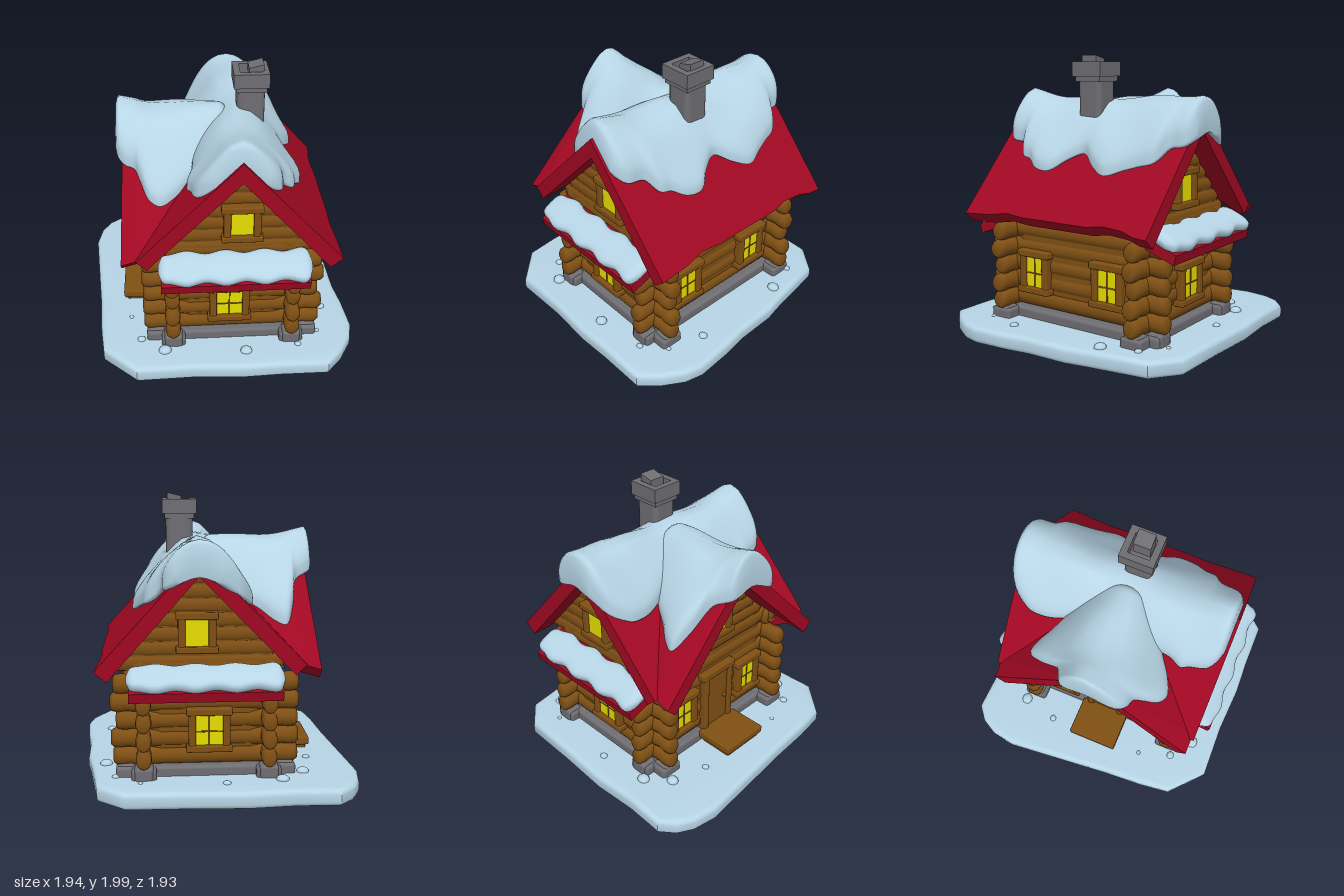
import * as THREE from 'three';
import { toCreasedNormals } from 'three/addons/utils/BufferGeometryUtils.js';
import { ConvexGeometry } from 'three/addons/geometries/ConvexGeometry.js';
import { RoundedBoxGeometry } from 'three/addons/geometries/RoundedBoxGeometry.js';

const mat = (name, color) => Object.assign(new THREE.MeshStandardMaterial({ color }), { name });
const V = (x, y, z) => new THREE.Vector3(x, y, z);

// Closed surface through nu+1 loops of nv points; the caps join upper and lower halves
function loft(nu, nv, point) {
  const pos = [], index = [];
  for (let i = 0; i <= nu; i++)
    for (let j = 0; j < nv; j++) pos.push(...point(i / nu, (j / nv) * Math.PI * 2));
  for (let i = 0; i < nu; i++)
    for (let j = 0; j < nv; j++) {
      const k = (j + 1) % nv, a = i * nv + j, b = i * nv + k;
      index.push(a, b, a + nv, b, b + nv, a + nv);
    }
  const e = nu * nv;
  for (let j = 0; j < nv / 2; j++) {
    const a = j, b = j + 1, c = nv - j - 1, d = (nv - j) % nv;
    index.push(a, c, b, a, d, c, e + a, e + b, e + c, e + a, e + c, e + d);
  }
  const g = new THREE.BufferGeometry();
  g.setAttribute('position', new THREE.Float32BufferAttribute(pos, 3));
  g.setIndex(index);
  g.computeVertexNormals();
  return g;
}
const soft = (v, p) => Math.sign(v) * Math.abs(v) ** p;

// Snow draped over a ridge; each row is [position along ridge, reach on -s, reach on +s]
function ridgeSnow(rows) {
  const curve = new THREE.CatmullRomCurve3(rows.map((r) => V(...r)), false, 'centripetal');
  return loft(64, 44, (t, a) => {
    const p = curve.getPoint(t);
    const end = Math.min(1, Math.min(t, 1 - t) / 0.06);
    const round = Math.sqrt(1 - (1 - end) ** 2);
    const c = Math.cos(a), s = soft(c, 0.7) * (c < 0 ? p.y : p.z) * (0.85 + 0.15 * round);
    const up = Math.sin(a);
    const bump = 0.01 * Math.sin(11 * p.x + 7 * s) + 0.008 * Math.sin(17 * s - 6 * p.x);
    const thick = 0.115 + 0.09 * p.x * p.x + bump;
    const h = up > 0 ? soft(up, 0.55) * thick * (0.25 + 0.75 * round) : up * 0.085;
    return [s, 1.64 - 1.08 * (Math.hypot(s, 0.12) - 0.07) + h, p.x];
  });
}

export function createModel() {
  const model = new THREE.Group();
  model.name = 'logCabin';
  const snow = mat('snow', 0xb7d5e6), wood = mat('wood', 0x805014), red = mat('redRoof', 0xa00822);
  const stone = mat('stone', 0x6e6e73), glow = mat('windowYellow', 0xf8ee00);

  const add = (name, geo, m, x = 0, y = 0, z = 0, parent = model) => {
    const mesh = new THREE.Mesh(geo, m);
    mesh.name = name;
    mesh.position.set(x, y, z);
    parent.add(mesh);
    return mesh;
  };
  const box = (name, m, w, h, d, x, y, z, parent) =>
    add(name, new RoundedBoxGeometry(w, h, d, 2, Math.min(w, h, d) * 0.2), m, x, y, z, parent);
  const log = (name, length, r, x, y, z, along, flat = 1) => {
    const l = length / 2, k = Math.min(1, l / 0.3);
    const half = [[0, 0], [0.7, 0], [0.93, 0.02], [1, 0.06], [0.9, 0.11], [1, 0.17], [0.96, 0.25]].map(([a, b]) => [a * r, l - b * k]);
    const prof = [...half.map(([a, b]) => [a, -b]), ...half.reverse()];
    const g = new THREE.LatheGeometry(prof.map((p) => new THREE.Vector2(...p)), 14);
    if (along === 'x') g.rotateZ(Math.PI / 2).scale(1, 1, flat);
    else g.rotateX(Math.PI / 2).scale(flat, 1, 1);
    return add(name, g, wood, x, y, z);
  };

  // Snowy ground slab
  const outline = [[-0.78, -0.96], [-0.5, -0.95], [-0.18, -0.97], [0.2, -0.95], [0.62, -0.94], [0.81, -0.79], [0.84, -0.6],
    [0.88, -0.35], [0.91, -0.2], [0.92, 0.1], [0.95, 0.3], [0.97, 0.55], [0.94, 0.68], [0.85, 0.83], [0.74, 0.95], [0.4, 0.95],
    [0.15, 0.96], [-0.2, 0.94], [-0.6, 0.95], [-0.84, 0.73], [-0.87, 0.5], [-0.89, 0.2], [-0.93, -0.2], [-0.97, -0.6],
    [-0.94, -0.77], [-0.88, -0.88]];
  const slab = new THREE.ExtrudeGeometry(new THREE.Shape(outline.map((p) => new THREE.Vector2(...p))),
    { depth: 0.05, bevelSize: 0.04, bevelOffset: -0.04, bevelThickness: 0.035, bevelSegments: 4 });
  add('snowGround', toCreasedNormals(slab.rotateX(Math.PI / 2), 0.7), snow, 0, 0.095, 0);
  for (let i = 0; i < 14; i++) {
    const a = i * 0.449 + 0.2, r = 0.025 + 0.012 * Math.sin(i * 5);
    add('snowLump', new THREE.SphereGeometry(r, 10, 8).scale(1.3, 0.9, 1.2), snow,
      0.06 + 0.72 * soft(Math.cos(a), 0.5), 0.13, 0.8 * soft(Math.sin(a), 0.5));
  }

  // Stone footing, following the crossed corners
  const wallX = [-0.34, 0.5], wallZ = [-0.57, 0.57];
  box('footingCore', stone, 0.98, 0.14, 1.28, 0.08, 0.13, 0);
  for (const z of wallZ) box('footingBeam', stone, 1.22, 0.12, 0.17, 0.08, 0.138, z);
  for (const x of wallX) box('footingBeam', stone, 0.17, 0.12, 1.44, x, 0.14, 0);
  for (const x of wallX) for (const z of wallZ) {
    box('cornerStone', stone, 0.13, 0.12, 0.12, x, 0.155, z + Math.sign(z) * 0.1);
    box('cornerStone', stone, 0.12, 0.12, 0.13, x + Math.sign(x) * 0.12, 0.15, z);
  }

  // Log walls with crossed ends
  box('wallCore', wood, 0.92, 0.8, 1.22, 0.08, 0.58, 0);
  for (let i = 0; i < 6; i++) {
    const y = 0.26 + i * 0.125, top = i === 5, j = 0.025 * Math.sin(i * 2.4);
    for (const z of wallZ) log('wallLog', top ? 1.0 : 1.25 + j, 0.07, 0.08 + j / 3, y, z, 'x', 0.84);
    for (const x of wallX) log('wallLog', top ? 1.2 : 1.49 + j, 0.07, x, y + 0.01, j / 3, 'z', 0.78);
  }

  // Gables filled with shortening logs
  const gablePrism = (f) => new ConvexGeometry([-1, 1].flatMap((s) => [f(-0.58, 0.86, s), f(0.58, 0.86, s), f(0, 1.53, s)]));
  for (const s of [-1, 1]) add('gableWall', gablePrism((u, y, k) => V(0.13 + u, y, s * 0.58 + k * 0.03)), wood);
  add('gableWall', gablePrism((u, y, k) => V(-0.35 + k * 0.03, y, u)), wood);
  for (let y = 0.91; y < 1.5; y += 0.095) {
    const len = Math.min(1.14, 2 * (1.55 - y) / 1.07);
    for (const z of wallZ) log('gableLog', len, 0.06, 0.13, y, z * 1.03, 'x', 0.6);
    log('gableLog', len, 0.06, -0.36, y, 0, 'z', 0.6);
  }

  // Windows, facing +z before turning
  const windowAt = (x, y, z, turn, w, h, bars = true) => {
    const g = new THREE.Group();
    g.name = 'window';
    g.position.set(x, y, z);
    g.rotation.y = turn;
    model.add(g);
    box('windowBack', wood, w + 0.06, h + 0.06, 0.06, 0, 0, -0.015, g);
    add('windowGlass', new THREE.BoxGeometry(w, h, 0.008), glow, 0, 0, 0.018, g);
    for (const s of [-1, 1]) box('windowJamb', wood, 0.05, h + 0.04, 0.07, s * (w / 2 + 0.025), 0, 0.01, g);
    box('windowLintel', wood, w + 0.13, 0.05, 0.08, 0, h / 2 + 0.025, 0.012, g);
    box('windowSill', wood, w + 0.13, 0.045, 0.085, 0, -h / 2 - 0.022, 0.012, g);
    if (bars) {
      box('windowBar', wood, 0.01, h, 0.014, 0, 0, 0.02, g);
      box('windowBar', wood, w, 0.01, 0.014, 0, -0.01, 0.02, g);
    }
  };
  const H = Math.PI / 2;
  for (const s of [-1, 1]) {
    const turn = s > 0 ? 0 : Math.PI;
    windowAt(0.06, 0.45, s * 0.625, turn, 0.18, 0.21);
    windowAt(0.14, 1.115, s * 0.625, turn, 0.15, 0.18, false);
    windowAt(0.555, 0.475, s * 0.32 + 0.01, H, 0.15, 0.22);
    windowAt(-0.395, 0.475, s * 0.34, -H, 0.14, 0.22);
  }
  windowAt(-0.395, 1.115, 0, -H, 0.15, 0.18, false);

  // Door and step
  box('door', wood, 0.05, 0.46, 0.22, -0.39, 0.43, 0.01);
  for (const s of [-1, 1]) box('doorJamb', wood, 0.08, 0.48, 0.045, -0.395, 0.43, 0.01 + s * 0.125);
  box('doorLintel', wood, 0.085, 0.055, 0.34, -0.395, 0.68, 0.01);
  add('doorKnob', new THREE.SphereGeometry(0.016, 10, 8), wood, -0.425, 0.42, 0.08);
  box('step', wood, 0.3, 0.06, 0.38, -0.56, 0.185, 0.01);
  box('stepBase', wood, 0.26, 0.08, 0.34, -0.56, 0.14, 0.01);

  // Roof panels: each corner pairs an outer point with its drop to the underside
  const panel = (...corners) => add('roofPanel',
    new ConvexGeometry(corners.flatMap(([p, d]) => [V(...p), V(...p).add(V(...d))])), red);
  const down = [0, -0.14, 0], inward = [-0.08, -0.07, 0];
  // Right slope, in strips that give a worn eave: [z, x of the eave]
  const eave = [[-0.77, 0.81], [-0.67, 0.805], [-0.58, 0.785], [-0.42, 0.775], [-0.3, 0.79], [0.25, 0.79], [0.4, 0.78], [0.55, 0.8], [0.77, 0.81]];
  for (let i = 0; i < eave.length - 1; i++) {
    const corners = [eave[i], eave[i + 1]].flatMap(([z, x]) =>
      [[[0.13, 1.64, z], down], [[x, 1.64 - 1.1 * (x - 0.13), z], inward]]);
    panel(...corners);
  }
  for (const s of [-1, 1]) {
    panel([[0.13, 1.64, 0], down], [[0.13, 1.64, s * 0.77], down],
      [[-0.57, 0.92, s * 0.77], [0.07, -0.07, 0]], [[-0.57, 0.92, s * 0.73], [0.07, -0.07, 0]]);
    panel([[0.13, 1.64, 0], down], [[-0.64, 1.63, 0], down],
      [[-0.67, 0.88, s * 0.75], [0, -0.07, -s * 0.07]], [[-0.54, 0.92, s * 0.75], [0, -0.07, -s * 0.07]]);
  }

  // Snow on both ridges
  add('mainRidgeSnow', ridgeSnow([[-0.81, 0.17, 0.18], [-0.75, 0.28, 0.23], [-0.66, 0.34, 0.25], [-0.6, 0.36, 0.34],
    [-0.5, 0.36, 0.37], [-0.4, 0.34, 0.4], [-0.27, 0.3, 0.44], [-0.14, 0.28, 0.39], [-0.02, 0.25, 0.32], [0.1, 0.28, 0.37],
    [0.2, 0.3, 0.44], [0.33, 0.31, 0.43], [0.42, 0.32, 0.38], [0.5, 0.35, 0.36], [0.56, 0.33, 0.28], [0.68, 0.3, 0.26],
    [0.75, 0.22, 0.2]]), snow, 0.13);
  add('crossRidgeSnow', ridgeSnow([[-0.08, 0.15, 0.15], [0.05, 0.26, 0.26], [0.18, 0.36, 0.36], [0.3, 0.43, 0.45],
    [0.4, 0.5, 0.49], [0.47, 0.52, 0.46], [0.53, 0.4, 0.36], [0.57, 0.25, 0.3], [0.63, 0.21, 0.28], [0.69, 0.18, 0.23]]),
  snow).rotation.y = -H;

  // Small snow-covered ledge roofs under the end gables
  for (const s of [-1, 1]) {
    const g = new THREE.Group();
    g.name = 'ledgeRoof';
    g.position.x = 0.09;
    g.rotation.y = s > 0 ? 0 : Math.PI;
    model.add(g);
    const section = [[0.58, 0.88], [0.73, 0.83], [0.85, 0.765], [0.835, 0.7], [0.58, 0.79]];
    add('ledge', new ConvexGeometry([-0.5, 0.5].flatMap((x) => section.map(([z, y]) => V(x, y, z)))), red, 0, 0, 0, g);
    add('ledgeSnow', loft(48, 20, (t, a) => {
      const u = (t - 0.5) * 1.03, end = Math.min(1, Math.min(t, 1 - t) / 0.06);
      const r = 0.3 + 0.7 * Math.sqrt(1 - (1 - end) ** 2), wave = 0.014 * Math.sin(u * 24);
      const p = soft(Math.cos(a), 0.7) * (0.12 + wave) * r, q = soft(Math.sin(a), 0.7) * 0.05 * r;
      return [0.75 + 0.87 * p + 0.4 * q, 0.838 - 0.4 * p + 0.9 * q, u];
    }), snow, 0, 0, 0, g).rotation.y = -H;
  }

  // Chimney with a hollow cap and a broken flue tile
  box('chimneyShaft', stone, 0.19, 0.5, 0.19, 0.235, 1.62, 0.03);
  const square = (P, r) => new P([[-r, -r], [r, -r], [r, r], [-r, r]].map((p) => new THREE.Vector2(...p)));
  const cap = (r, hole, h, y) => {
    const shape = square(THREE.Shape, r);
    shape.holes.push(square(THREE.Path, hole));
    add('chimneyCap', new THREE.ExtrudeGeometry(shape, { depth: h, bevelEnabled: false }).rotateX(-H), stone, 0.235, y, 0.03);
  };
  cap(0.105, 0.075, 0.05, 1.82);
  cap(0.12, 0.075, 0.1, 1.855);
  add('flueTile', new ConvexGeometry([-0.06, 0.06].flatMap((z) =>
    [V(0, -0.1, z), V(0.1, -0.1, z), V(0.1, 0.05, z), V(0, 0.025, z)])), stone, 0.22, 1.95, 0.03);

  return model;
}
